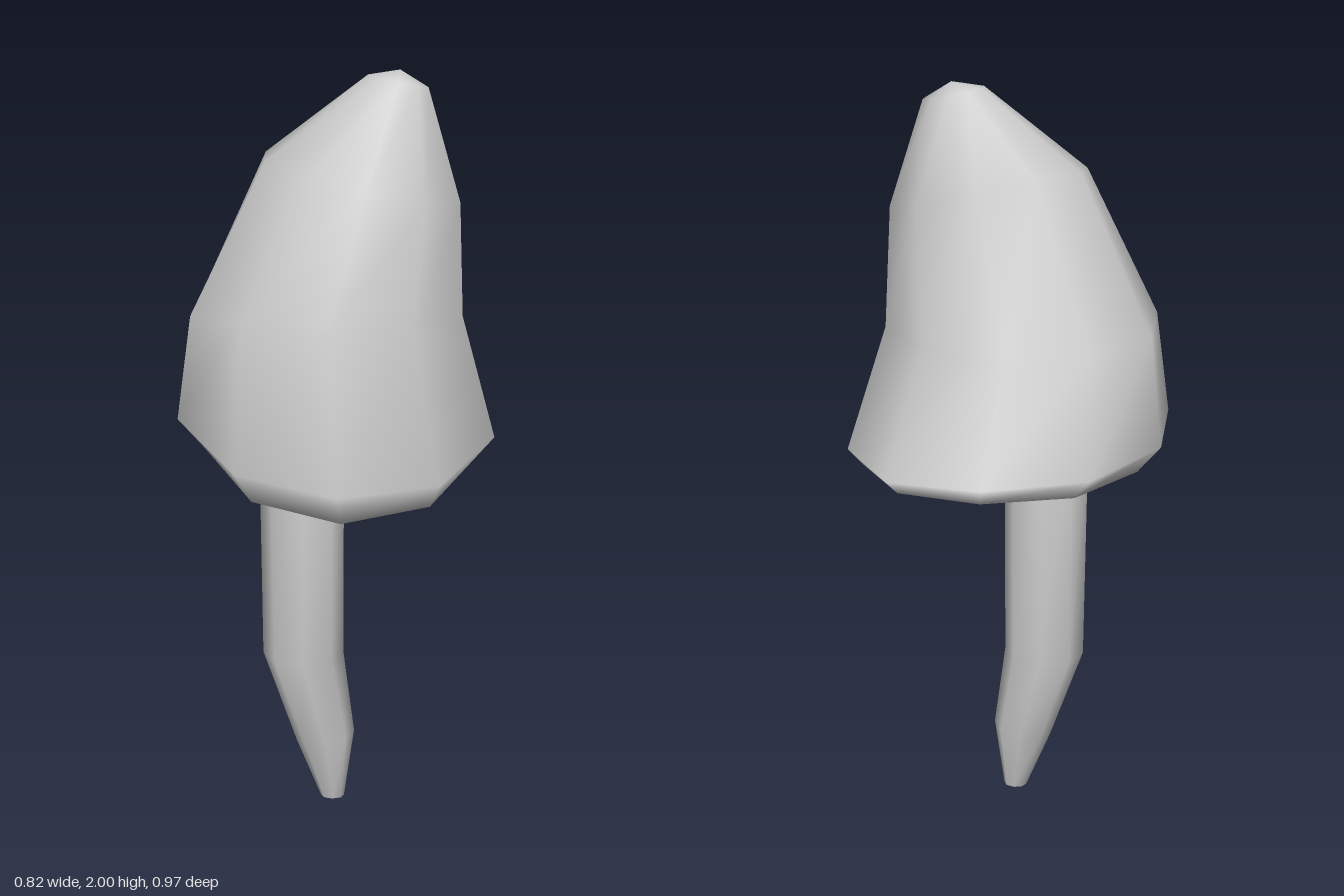
import * as THREE from 'three';

// Skins a stack of rings (listed bottom to top) with smooth normals, closed by a point at each end.
// ring: x, z centre; rx, rz radii; y as a number or as heights from front (+z) round to back; tx, tz tilt.
function loft(rings, sides, bottom, top) {
  const pos = [], index = [];
  for (const { x, z, rx, rz, y, tx = 0, tz = 0 } of rings) {
    for (let j = 0; j < sides; j++) {
      const a = (j / sides) * Math.PI * 2;
      const dx = rx * Math.sin(a), dz = rz * Math.cos(a);
      const h = Array.isArray(y) ? y[Math.min(j, sides - j)] : y;
      pos.push(x + dx, h + tx * dx + tz * dz, z + dz);
    }
  }
  const last = (rings.length - 1) * sides, lo = rings.length * sides, hi = lo + 1;
  pos.push(...bottom, ...top);
  for (let j = 0; j < sides; j++) {
    const k = (j + 1) % sides;
    for (let r = 0; r < last; r += sides) {
      index.push(r + j, r + k, r + sides + k, r + j, r + sides + k, r + sides + j);
    }
    index.push(lo, k, j, hi, last + j, last + k);
  }
  const geo = new THREE.BufferGeometry();
  geo.setAttribute('position', new THREE.Float32BufferAttribute(pos, 3));
  geo.setIndex(index);
  geo.computeVertexNormals();
  return geo;
}

export function createModel() {
  const group = new THREE.Group();
  group.name = 'mushroom';
  const material = new THREE.MeshStandardMaterial({ color: 0xcccccc });
  const add = (name, geo) => {
    const mesh = new THREE.Mesh(geo, material);
    mesh.name = name;
    group.add(mesh);
  };

  // Leaning ten-sided cap: under edge, flared rim, waist, shoulder, tip
  add('cap', loft([
    { x: 0.01, z: -0.005, rx: 0.378, rz: 0.437, y: [0.93, 0.955, 1.04, 1.04, 1.05, 1.06], tx: -0.03 },
    { x: 0, z: 0, rx: 0.43, rz: 0.487, y: [1.01, 1.03, 1.1, 1.1, 1.1, 1.11], tx: -0.06 },
    { x: -0.025, z: 0.05, rx: 0.363, rz: 0.34, y: 1.39, tz: 0.04 },
    { x: 0.065, z: 0.062, rx: 0.258, rz: 0.243, y: 1.735, tx: -0.2, tz: -0.1 },
    { x: 0.155, z: 0.06, rx: 0.079, rz: 0.072, y: 1.972, tx: -0.2 },
  ], 10, [0, 1.045, 0], [0.16, 2, 0.06]));

  // Bent stem tapering to a blunt foot
  add('stem', loft([
    { x: -0.01, z: 0.028, rx: 0.032, rz: 0.024, y: 0 },
    { x: -0.03, z: 0.03, rx: 0.08, rz: 0.062, y: 0.185, tx: 0.18 },
    { x: -0.09, z: 0.033, rx: 0.11, rz: 0.103, y: 0.435 },
    { x: -0.092, z: 0.033, rx: 0.113, rz: 0.116, y: 1.08 },
  ], 8, [-0.01, 0, 0.028], [-0.09, 1.09, 0.033]));

  return group;
}
